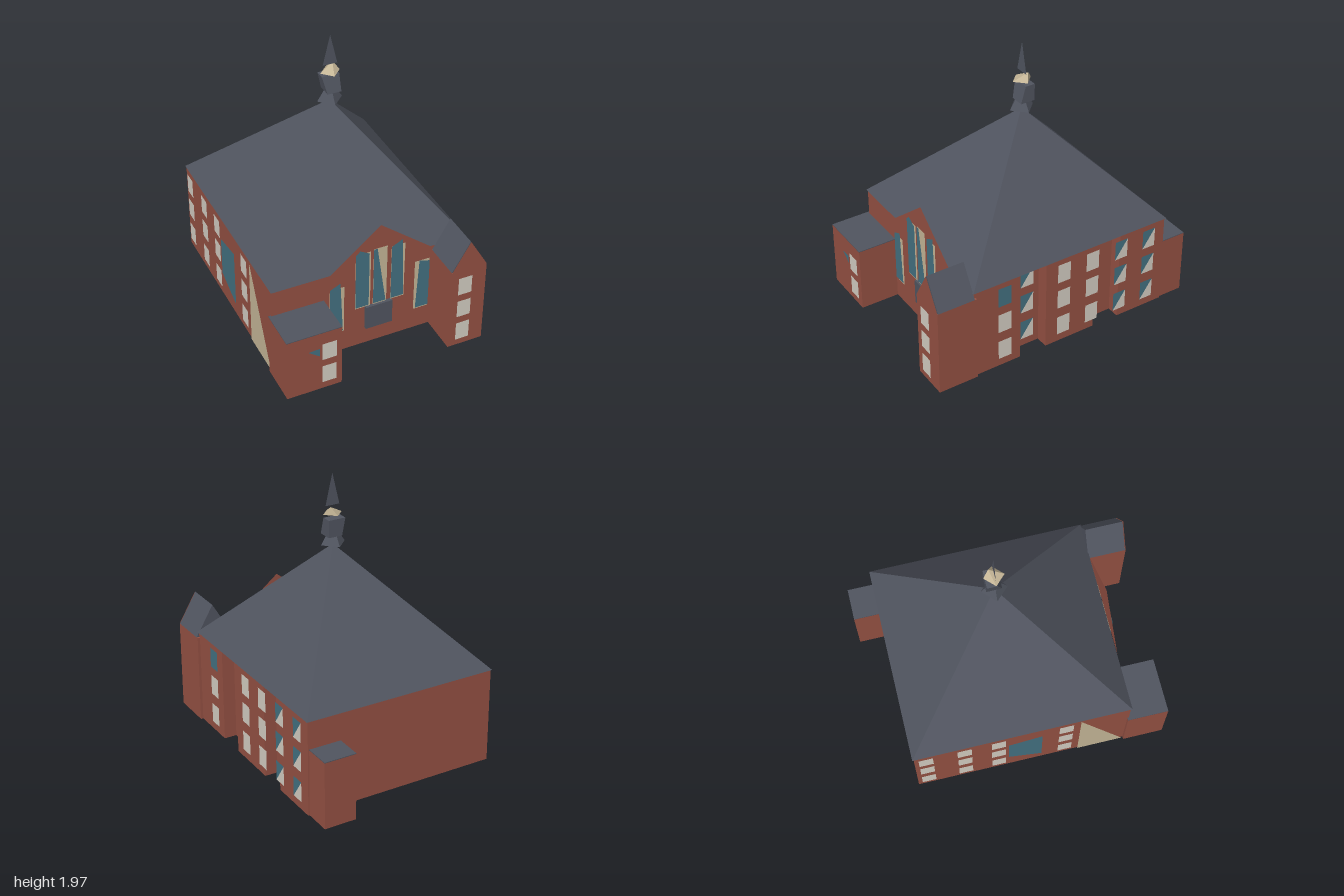
import * as THREE from 'three';

export function createModel() {
  const model = new THREE.Group();
  const paint = (name, color, side = THREE.FrontSide) => {
    const m = new THREE.MeshStandardMaterial({ color, side });
    m.name = name;
    return m;
  };
  const brick = paint('brick', 0x935042, THREE.DoubleSide);
  const slate = paint('slate', 0x50545f, THREE.DoubleSide);
  const glass = paint('glass', 0x437080, THREE.DoubleSide);
  const stone = paint('sandstone', 0xc4b596, THREE.DoubleSide);
  const white = paint('window white', 0xd2ccc1, THREE.DoubleSide);

  const add = (name, geo, mat) => {
    const mesh = new THREE.Mesh(geo, mat);
    mesh.name = name;
    model.add(mesh);
    return mesh;
  };

  // Solid between two rectangles [x0, x1, z0, z1] at heights y0 and y1
  const loft = (name, mat, y0, y1, low, high = low) => {
    const geo = new THREE.BoxGeometry(1, 1, 1).toNonIndexed();
    const p = geo.attributes.position;
    for (let i = 0; i < p.count; i++) {
      const up = p.getY(i) > 0;
      const r = up ? high : low;
      p.setXYZ(i, p.getX(i) > 0 ? r[1] : r[0], up ? y1 : y0, p.getZ(i) > 0 ? r[3] : r[2]);
    }
    geo.computeVertexNormals();
    return add(name, geo, mat);
  };

  // Flat polygon on a wall; turn -1, 0, 1 faces -x, +z, +x
  const plate = (name, mat, pts, offset, turn = 0) => {
    const shape = new THREE.Shape(pts.map(([x, y]) => new THREE.Vector2(x, y)));
    const mesh = add(name, new THREE.ShapeGeometry(shape), mat);
    mesh.rotation.y = turn * Math.PI / 2;
    if (turn) mesh.position.x = turn * offset;
    else mesh.position.z = offset;
    return mesh;
  };
  const rect = (x0, x1, y0, y1) => [[x0, y0], [x1, y0], [x1, y1], [x0, y1]];

  // Main body with recesses along its left side
  loft('mainBody', brick, 0, 0.68, [-0.7, 0.61, -0.81, 0.71]);
  [[0.36, 0.71], [-0.235, 0.155], [-0.81, -0.44]].forEach(([z0, z1]) =>
    loft('sideBay', brick, 0, 0.68, [0.61, 0.7, z0, z1]));
  loft('mainRoof', slate, 0.68, 1.48, [-0.705, 0.71, -0.82, 0.72], [0.07, 0.07, -0.06, -0.06]);

  // Low annexes with flat slate tops
  [['frontAnnex', [-0.72, -0.33, 0.7, 0.99]], ['backAnnex', [0.46, 0.69, -1, -0.8]]].forEach(([name, r]) => {
    loft(name, brick, 0, 0.475, r);
    loft(name + 'Roof', slate, 0.475, 0.48, r);
  });

  // Gabled corner wing
  loft('cornerWing', brick, 0, 0.64, [0.46, 0.718, 0.7, 0.99]);
  loft('cornerWingRoof', slate, 0.64, 0.86, [0.46, 0.718, 0.715, 0.985], [0.588, 0.588, 0.715, 0.985]);
  plate('cornerGable', brick, [[0.46, 0.64], [0.718, 0.64], [0.588, 0.86]], 0.99);

  // Front gable, door and tall windows
  plate('frontGable', brick, [[-0.3, 0.675], [0.45, 0.675], [0.07, 0.98]], 0.723);
  loft('door', slate, 0.14, 0.325, [-0.03, 0.165, 0.71, 0.735]);
  const tall = [
    [rect(-0.11, 0, 0.335, 0.79), [[-0.11, 0.345], [-0.012, 0.345], [-0.012, 0.78], [-0.08, 0.82], [-0.11, 0.79]]],
    [rect(0.02, 0.12, 0.335, 0.8), [[0.02, 0.345], [0.113, 0.345], [0.045, 0.8], [0.02, 0.8]]],
    [rect(0.15, 0.25, 0.335, 0.78), [[0.15, 0.345], [0.245, 0.345], [0.228, 0.82], [0.15, 0.78]]],
    [rect(-0.295, -0.19, 0.18, 0.56), [[-0.295, 0.19], [-0.2, 0.19], [-0.22, 0.6], [-0.295, 0.565]]],
    [rect(0.328, 0.437, 0.18, 0.59), [[0.34, 0.19], [0.437, 0.19], [0.437, 0.57], [0.36, 0.595]]]
  ];
  tall.forEach(([frame, pane]) => {
    plate('tallWindowFrame', stone, frame, 0.727);
    plate('tallWindowGlass', glass, pane, 0.731);
  });
  [[0.05, 0.195], [0.25, 0.385], [0.44, 0.58]].forEach(([y0, y1]) =>
    plate('wingWindow', white, rect(0.512, 0.612, y0, y1), 0.995));
  [[0.055, 0.195], [0.25, 0.385]].forEach(([y0, y1]) =>
    plate('annexWindow', white, rect(-0.47, -0.37, y0, y1), 0.995));
  plate('annexPane', glass, [[-0.57, 0.35], [-0.49, 0.29], [-0.49, 0.355]], 0.995);

  // Side windows: three rows, some panes half glass on the diagonal
  const rows = [[0.06, 0.205], [0.28, 0.425], [0.49, 0.635]];
  rows.forEach(([y0, y1], row) => {
    [0.48, 0.25, 0.015, -0.215, -0.45, -0.68].forEach((z, col) => {
      const u0 = -z - 0.05, u1 = -z + 0.05;
      const x = col === 1 ? 0.615 : 0.705;
      if (col === 1 || col > 3) {
        plate('sideWindowPane', white, [[u0, y0], [u1, y0], [u1, y1]], x, 1);
        plate('sideWindowGlass', glass, [[u0, y0], [u1, y1], [u0, y1]], x, 1);
      } else {
        plate('sideWindow', row === 2 && col === 0 ? glass : white, rect(u0, u1, y0, y1), x, 1);
      }
    });
    [-0.73, -0.46, -0.22, 0.26].forEach(z =>
      plate('farSideWindow', white, rect(z - 0.05, z + 0.05, y0, y1), 0.707, -1));
  });
  plate('farSideGlass', glass, [[-0.15, 0.2], [0.09, 0.1], [0.09, 0.54], [-0.15, 0.5]], 0.707, -1);
  plate('farSidePanel', stone, [[0.36, 0], [0.69, 0], [0.36, 0.67]], 0.707, -1);

  // Stacked roof turret: skirt, lantern, cap and thin spire
  const skirt = new THREE.CylinderGeometry(0.045, 0.09, 0.07, 4).toNonIndexed();
  skirt.computeVertexNormals();
  add('turretSkirt', skirt, slate).position.set(0.07, 1.52, -0.06);
  loft('turretLantern', slate, 1.55, 1.67, [0.035, 0.135, -0.12, -0.015], [0.01, 0.135, -0.12, -0.05]);
  const cap = new THREE.ConeGeometry(0.07, 0.055, 4).toNonIndexed();
  const p = cap.attributes.position;
  for (let i = 0; i < p.count; i++) {
    if (p.getY(i) > 0) p.setXYZ(i, 0.03, p.getY(i), -0.03);
  }
  cap.computeVertexNormals();
  add('turretCap', cap, stone).position.set(0.073, 1.722, -0.06);
  plate('spire', slate, [[0.02, 1.75], [0.125, 1.75], [0.073, 1.97]], -0.06);

  return model;
}
